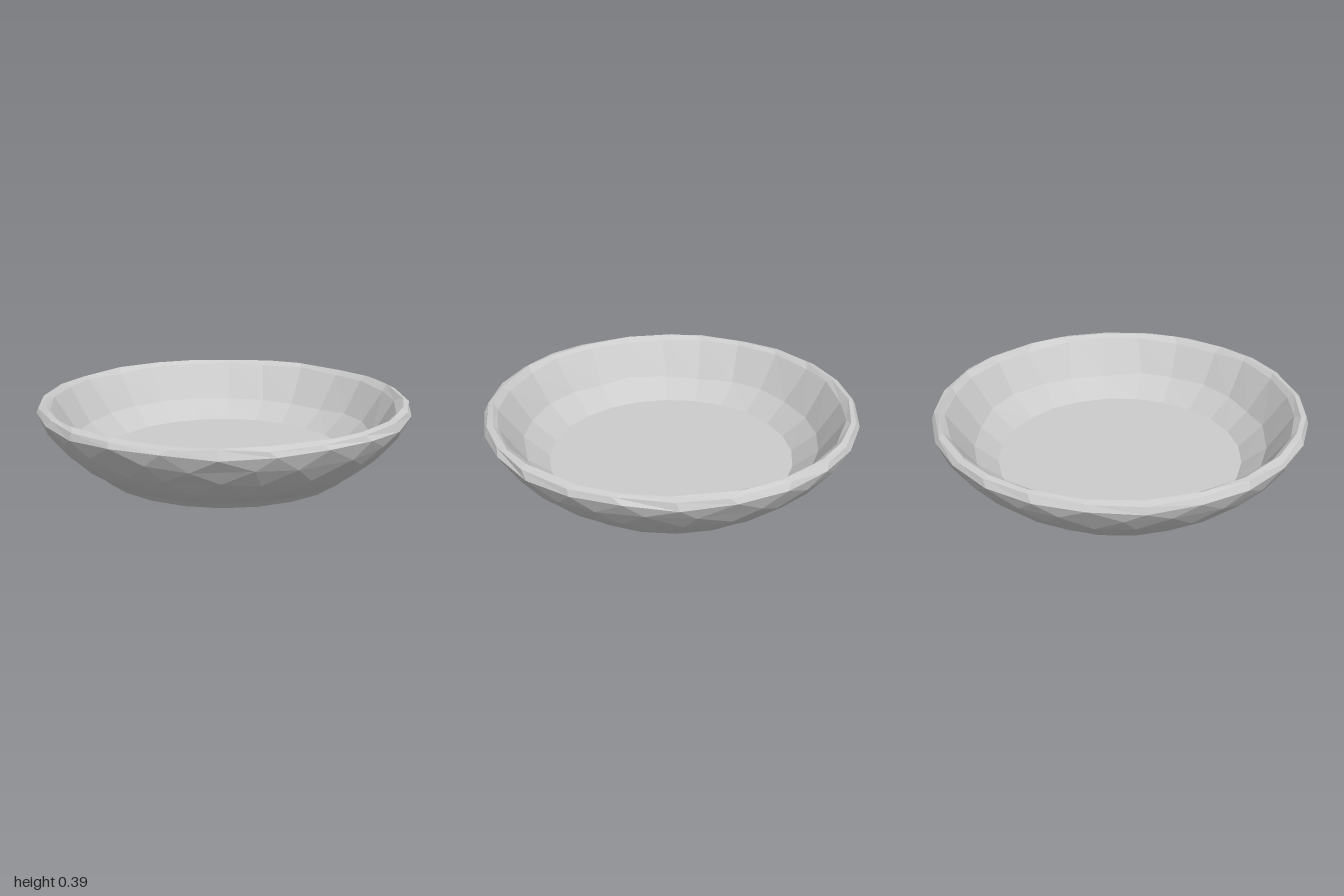
import * as THREE from 'three';

const SIDES = 24;

// Rings from the foot, up the outside, over the rim and down to the floor:
// [radius, height, angular stagger, angular jitter, height jitter]
const RINGS = [
  [0.68, 0, 0, 0, 0],
  [0.72, 0.038, 0, 0.15, 0.004],
  [0.82, 0.11, 0.5, 0.2, 0.014],
  [0.905, 0.195, 0, 0.2, 0.016],
  [0.965, 0.275, 0.5, 0.2, 0.016],
  [1.0, 0.345, 0, 0, 0.012],
  [0.985, 0.38, 0, 0.2, 0.006],
  [0.955, 0.39, 0, 0.2, 0.003],
  [0.925, 0.365, 0, 0.12, 0.008],
  [0.80, 0.175, 0, 0.12, 0.012],
  [0.67, 0.07, 0, 0, 0],
];

// Small seeded generator returning values in -1..1
function seeded(seed) {
  let s = seed;
  return () => {
    s = (s * 16807) % 2147483647;
    return (s / 2147483647) * 2 - 1;
  };
}

// Hand-hewn shell: jittered rings joined by triangles
function shellGeometry() {
  const rand = seeded(4217);
  const positions = [];
  const index = [];

  RINGS.forEach(([radius, height, stagger, turn, lift], i) => {
    // Follow the outer slope when a vertex is moved up or down
    const [r0, y0] = RINGS[Math.max(i - 1, 0)];
    const [r1, y1] = RINGS[Math.min(i + 1, RINGS.length - 1)];
    const slope = i === 5 ? 0 : THREE.MathUtils.clamp((r1 - r0) / (y1 - y0 || 1), -1.2, 1.2);
    for (let j = 0; j < SIDES; j++) {
      const a = ((j + stagger + rand() * turn) / SIDES) * Math.PI * 2;
      const dy = rand() * lift;
      const r = radius + dy * slope;
      positions.push(Math.sin(a) * r, Math.min(height + dy, 0.392), Math.cos(a) * r);
    }
  });

  for (let i = 0; i < RINGS.length - 1; i++) {
    const back = RINGS[i][2] > RINGS[i + 1][2];
    for (let j = 0; j < SIDES; j++) {
      const k = (j + 1) % SIDES;
      const a = i * SIDES + j, b = i * SIDES + k;
      const c = a + SIDES, d = b + SIDES;
      if (back) index.push(a, b, d, a, d, c);
      else index.push(a, b, c, b, d, c);
    }
  }

  const geometry = new THREE.BufferGeometry();
  geometry.setAttribute('position', new THREE.Float32BufferAttribute(positions, 3));
  geometry.setIndex(index);
  geometry.computeVertexNormals();
  return geometry;
}

export function createModel() {
  const bowl = new THREE.Group();
  bowl.name = 'bowl';
  const material = new THREE.MeshStandardMaterial({ color: 0xcccccc, flatShading: true });

  const add = (name, geometry) => {
    const mesh = new THREE.Mesh(geometry, material);
    mesh.name = name;
    bowl.add(mesh);
  };

  // Curved wall with its rim
  add('wall', shellGeometry());

  // Flat inner floor
  add('floor', new THREE.CircleGeometry(0.67, SIDES).rotateX(-Math.PI / 2).translate(0, 0.07, 0));

  // Flat underside
  add('base', new THREE.CircleGeometry(0.68, SIDES).rotateX(Math.PI / 2));

  return bowl;
}
